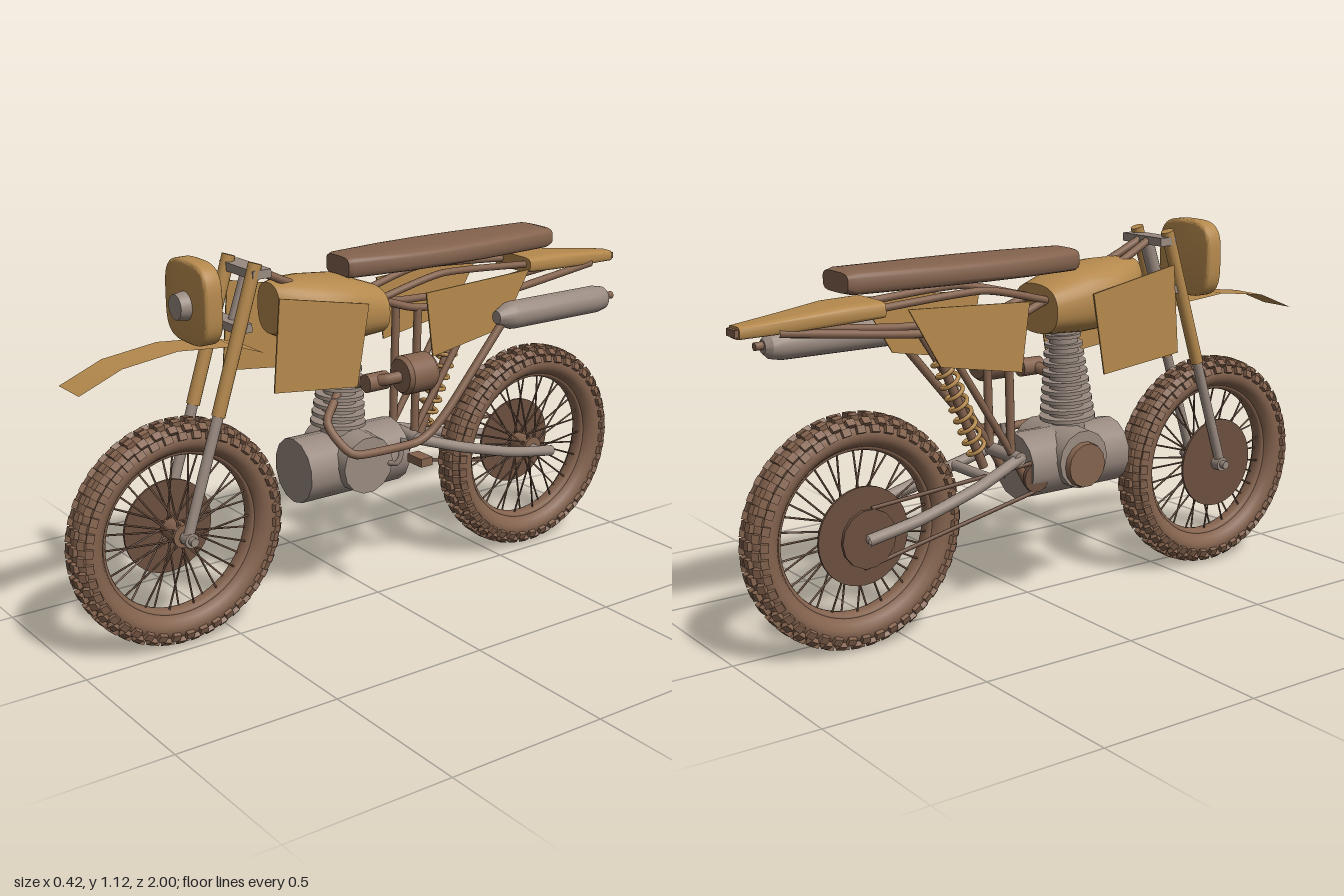
import * as THREE from 'three';
import { mergeGeometries, toCreasedNormals } from 'three/addons/utils/BufferGeometryUtils.js';

const material = (name, color, side = THREE.FrontSide) => {
  const m = new THREE.MeshStandardMaterial({ color, side });
  m.name = name;
  return m;
};

export function createModel() {
  const gold = material('ochre paint', 0xb5894d, THREE.DoubleSide);
  const brown = material('brown rubber', 0x84634e);
  const grey = material('warm grey metal', 0x998a80);
  const dark = material('dark brown metal', 0x6a4f3f);
  const bike = new THREE.Group();
  bike.name = 'motorcycle';
  bike.position.x = -0.07; // the bike's centre plane, its side parts reach further out
  const V = (x, y, z) => new THREE.Vector3(x, y, z);

  const add = (name, geo, mat, parent = bike) => {
    const m = new THREE.Mesh(geo, mat);
    m.name = name;
    parent.add(m);
    return m;
  };
  // Tapered rod between two points
  const rodGeo = (a, b, r0, r1 = r0, n = 14) => {
    const d = b.clone().sub(a);
    const g = new THREE.CylinderGeometry(r1, r0, d.length(), n);
    g.applyQuaternion(new THREE.Quaternion().setFromUnitVectors(V(0, 1, 0), d.normalize()));
    const c = a.clone().add(b).multiplyScalar(0.5);
    return g.translate(c.x, c.y, c.z);
  };
  const rod = (name, a, b, r0, mat, r1 = r0) => add(name, rodGeo(a, b, r0, r1), mat);
  const pipe = (name, pts, r, mat) => {
    const curve = new THREE.CatmullRomCurve3(pts, false, 'catmullrom', 0.3);
    return add(name, new THREE.TubeGeometry(curve, 48, r, 12), mat);
  };
  const box = (name, w, h, d, x, y, z, mat) =>
    add(name, new THREE.BoxGeometry(w, h, d).translate(x, y, z), mat);
  // Closed loft along z through superellipse sections [z, centreY, halfWidth, halfHeight]
  const loft = (name, sections, power, mat, n = 32) => {
    const pos = [], idx = [];
    const first = sections[0], last = sections[sections.length - 1];
    const rings = [[first[0], first[1], 0, 0], ...sections, [last[0], last[1], 0, 0]];
    for (const [z, cy, hw, hh] of rings) for (let i = 0; i < n; i++) {
      const t = i / n * Math.PI * 2, c = Math.cos(t), s = Math.sin(t);
      pos.push(hw * Math.sign(c) * Math.abs(c) ** power, cy + hh * Math.sign(s) * Math.abs(s) ** power, z);
    }
    for (let k = 0; k < rings.length - 1; k++) for (let i = 0; i < n; i++) {
      const a = k * n + i, b = k * n + (i + 1) % n;
      idx.push(a, a + n, b, b, a + n, b + n); // sections run from front to back
    }
    const g = new THREE.BufferGeometry();
    g.setAttribute('position', new THREE.Float32BufferAttribute(pos, 3));
    g.setIndex(idx);
    return add(name, toCreasedNormals(g, 0.6), mat);
  };

  // Wheels
  const wheel = (name, z) => {
    const w = new THREE.Group();
    w.name = name;
    w.position.set(0, 0.34, z);
    bike.add(w);
    const ring = (R, r, sx) => new THREE.TorusGeometry(R, r, 14, 64).rotateY(Math.PI / 2).scale(sx, 1, 1);
    add('tire', ring(0.284, 0.043, 1.25), brown, w);
    add('rim', ring(0.244, 0.012, 2), brown, w);
    const knobs = [], spokes = [];
    for (let i = 0; i < 84; i++) {
      const a = i / 84 * Math.PI * 2;
      for (const s of [-1, 1]) {
        const rows = i % 2 ? [[0.038, 0.318, 0.7]] : [[0.013, 0.328, 0.1], [0.05, 0.301, 1.15]];
        for (const [x, r, tilt] of rows) knobs.push(new THREE.BoxGeometry(0.022, 0.02, 0.025)
          .rotateZ(-s * tilt).translate(s * x, r, 0).rotateX(a));
      }
    }
    for (let i = 0; i < 36; i++) {
      const a = i / 36 * Math.PI * 2, b = a + (i % 4 < 2 ? 0.35 : -0.35), s = i % 2 ? 1 : -1;
      spokes.push(rodGeo(V(s * 0.035, 0.03 * Math.cos(b), 0.03 * Math.sin(b)),
        V(s * 0.008, 0.24 * Math.cos(a), 0.24 * Math.sin(a)), 0.003, 0.003, 5));
    }
    add('knobs', mergeGeometries(knobs), brown, w);
    add('spokes', mergeGeometries(spokes), dark, w);
    add('hub', new THREE.CylinderGeometry(0.03, 0.035, 0.09, 20).rotateZ(Math.PI / 2), brown, w);
    add('axle', new THREE.CylinderGeometry(0.013, 0.013, 0.21, 14).rotateZ(Math.PI / 2), grey, w);
    add('brakeDisc', new THREE.CylinderGeometry(0.142, 0.142, 0.008, 40).rotateZ(Math.PI / 2)
      .translate(-0.054, 0, 0), dark, w);
  };
  wheel('frontWheel', 0.66);
  wheel('rearWheel', -0.65);

  // Fork and clamps
  for (const s of [-1, 1]) {
    const x = s * 0.071;
    rod('forkUpper', V(x, 0.685, 0.553), V(x, 1.105, 0.42), 0.02, gold);
    rod('forkLower', V(x, 0.33, 0.668), V(x, 0.69, 0.552), 0.016, grey);
    add('axleClamp', new THREE.CylinderGeometry(0.022, 0.022, 0.034, 16).rotateZ(Math.PI / 2)
      .translate(x, 0.34, 0.66), grey);
  }
  box('upperClamp', 0.18, 0.025, 0.06, 0, 1.075, 0.41, grey);
  box('lowerClamp', 0.16, 0.025, 0.05, 0, 0.925, 0.465, grey);
  rod('steeringStem', V(0, 0.92, 0.45), V(0, 1.08, 0.395), 0.022, grey);

  // Headlight plate and lens
  const plate = new THREE.Shape();
  const hw = 0.106, hh = 0.108;
  for (let i = 0; i < 48; i++) {
    const t = i / 48 * Math.PI * 2, c = Math.cos(t), s = Math.sin(t);
    const px = hw * Math.sign(c) * Math.abs(c) ** 0.55, py = hh * Math.sign(s) * Math.abs(s) ** 0.55;
    if (i) plate.lineTo(px, py); else plate.moveTo(px, py);
  }
  add('headlightShell', toCreasedNormals(new THREE.ExtrudeGeometry(plate, {
    depth: 0.036, bevelThickness: 0.01, bevelSize: 0.01, bevelSegments: 3 }).translate(0, 1.007, 0.56), 0.6), gold);
  add('headlightLens', new THREE.CylinderGeometry(0.036, 0.042, 0.035, 28).rotateX(Math.PI / 2)
    .translate(0, 0.997, 0.62), grey);

  // Front fender: a thin bent strip
  const fender = new THREE.PlaneGeometry(0.122, 1, 1, 4);
  const fenderPath = [[0.39, 0.84], [0.484, 0.874], [0.666, 0.89], [0.837, 0.869], [0.967, 0.816]];
  const fp = fender.attributes.position;
  for (let i = 0; i < fp.count; i++) {
    const [z, y] = fenderPath[Math.floor(i / 2)];
    fp.setXYZ(i, fp.getX(i), y, z);
  }
  fender.setIndex([...fender.index.array].reverse());
  fender.computeVertexNormals();
  add('frontFender', fender, gold);

  // Tank, seat and tail
  loft('fuelTank', [[0.335, 0.95, 0.06, 0.075], [0.29, 0.942, 0.095, 0.09], [0.21, 0.93, 0.13, 0.1],
    [0.1, 0.922, 0.132, 0.098], [-0.02, 0.903, 0.105, 0.073]], 0.8, gold);
  loft('seat', [[0.095, 1.043, 0.058, 0.03], [0.08, 1.043, 0.066, 0.034], [-0.1, 1.043, 0.095, 0.034],
    [-0.25, 1.043, 0.103, 0.034], [-0.4, 1.043, 0.1, 0.034], [-0.66, 1.043, 0.078, 0.034],
    [-0.685, 1.043, 0.068, 0.028]], 0.5, brown);
  loft('tail', [[-0.58, 0.966, 0.085, 0.024], [-0.7, 0.961, 0.08, 0.026], [-0.85, 0.948, 0.052, 0.022],
    [-0.985, 0.938, 0.031, 0.017]], 0.4, gold);
  box('tailLight', 0.05, 0.02, 0.012, 0, 0.938, -0.99, brown);

  // Side plates, outline given as z, y
  const panel = (name, x, pts) => {
    const shape = new THREE.Shape(pts.map(([z, y]) => new THREE.Vector2(-z, y)));
    for (const s of [-1, 1]) add(name, new THREE.ExtrudeGeometry(shape, { depth: 0.005, bevelEnabled: false })
      .rotateY(Math.PI / 2).translate(s * x - 0.0025, 0, 0), gold);
  };
  panel('tankShroud', 0.14, [[0.388, 1.013], [0.083, 0.954], [0.125, 0.712], [0.41, 0.744]]);
  panel('sidePanel', 0.126, [[-0.136, 0.952], [-0.537, 0.97], [-0.436, 0.8], [-0.163, 0.752]]);

  // Frame tubes
  for (const s of [-1, 1]) {
    pipe('backbone', [V(s * 0.02, 1.075, 0.39), V(s * 0.03, 1.01, 0.25), V(s * 0.045, 0.94, 0),
      V(s * 0.055, 0.89, -0.16), V(s * 0.06, 0.885, -0.45), V(s * 0.04, 0.93, -0.88)], 0.012, brown);
    pipe('seatRail', [V(s * 0.05, 0.93, 0), V(s * 0.06, 0.985, -0.25), V(s * 0.055, 0.965, -0.62)], 0.011, brown);
    rod('rearDownTube', V(s * 0.055, 0.89, -0.16), V(s * 0.055, 0.5, -0.15), 0.013, brown);
    rod('cradleTube', V(s * 0.055, 0.5, -0.15), V(s * 0.055, 0.38, -0.08), 0.013, brown);
    rod('rearStrut', V(s * 0.055, 0.5, -0.15), V(s * 0.06, 0.885, -0.4), 0.011, brown);
    // Swingarm side
    pipe('swingarm', [V(s * 0.075, 0.485, -0.13), V(s * 0.105, 0.43, -0.3), V(s * 0.113, 0.375, -0.5),
      V(s * 0.113, 0.345, -0.67)], 0.017, grey);
  }
  rod('swingarmPivot', V(-0.09, 0.485, -0.14), V(0.09, 0.485, -0.14), 0.02, grey);
  rod('swingarmBridge', V(-0.1, 0.445, -0.25), V(0.1, 0.445, -0.25), 0.016, grey);

  // Shock absorber with coil spring
  const shockTop = V(0, 0.83, -0.37), shockFoot = V(0, 0.455, -0.21);
  rod('shockDamper', shockFoot, shockTop, 0.014, brown);
  const along = shockTop.clone().sub(shockFoot), axis = along.clone().normalize();
  const side = V(1, 0, 0), up = axis.clone().cross(side);
  const coil = [];
  for (let i = 0; i <= 130; i++) {
    const a = i / 130 * 9 * Math.PI * 2;
    coil.push(shockFoot.clone().addScaledVector(along, 0.12 + 0.83 * i / 130)
      .addScaledVector(side, 0.028 * Math.cos(a)).addScaledVector(up, 0.028 * Math.sin(a)));
  }
  add('shockSpring', new THREE.TubeGeometry(new THREE.CatmullRomCurve3(coil), 260, 0.0065, 7), gold);

  // Engine
  rod('crankcase', V(0, 0.44, -0.1), V(0, 0.44, 0.26), 0.1, grey);
  rod('clutchCover', V(0, 0.455, 0.075), V(0.128, 0.455, 0.075), 0.095, grey, 0.088);
  rod('generatorCase', V(0, 0.455, 0.075), V(-0.112, 0.455, 0.075), 0.095, grey, 0.088);
  rod('generatorCover', V(-0.11, 0.44, 0.075), V(-0.13, 0.44, 0.075), 0.07, brown, 0.066);
  rod('cylinderBarrel', V(0, 0.5, 0.1), V(0, 0.83, 0.08), 0.055, grey, 0.042);
  for (let i = 0; i < 10; i++) {
    const t = i / 9;
    add('coolingFin', new THREE.CylinderGeometry(0.084 - 0.03 * t, 0.084 - 0.03 * t, 0.011, 28)
      .rotateX(-0.06).translate(0, 0.565 + 0.25 * t, 0.098 - 0.018 * t), grey);
  }

  // Intake and air filter
  pipe('intake', [V(0.03, 0.69, 0.07), V(0.1, 0.705, 0.05), V(0.14, 0.715, 0.02), V(0.165, 0.725, -0.03)], 0.018, brown);
  rod('carburettor', V(0.11, 0.705, 0.075), V(0.11, 0.705, 0), 0.028, brown);
  const filter = [[0, 0], [0.05, 0], [0.059, 0.012], [0.059, 0.095], [0.05, 0.108], [0, 0.108]];
  add('airFilter', toCreasedNormals(new THREE.LatheGeometry(filter.map(([r, y]) => new THREE.Vector2(r, y)), 32)
    .rotateX(-Math.PI / 2).translate(0.165, 0.727, -0.012), 0.5), brown);

  // Exhaust
  pipe('exhaustPipe', [V(0.03, 0.66, 0.12), V(0.085, 0.605, 0.195), V(0.125, 0.56, 0.19), V(0.17, 0.515, 0.15),
    V(0.172, 0.51, -0.06), V(0.172, 0.535, -0.125), V(0.178, 0.6, -0.19), V(0.18, 0.83, -0.385)], 0.013, brown);
  const muffler = [[0, 0], [0.02, 0], [0.041, 0.045], [0.043, 0.06], [0.043, 0.4], [0.036, 0.435], [0.02, 0.452], [0, 0.452]];
  add('muffler', toCreasedNormals(new THREE.LatheGeometry(muffler.map(([r, y]) => new THREE.Vector2(r, y)), 28)
    .rotateX(-Math.PI / 2).translate(0.18, 0.853, -0.365), 0.5), grey);
  rod('exhaustTip', V(0.18, 0.856, -0.81), V(0.18, 0.856, -0.842), 0.012, brown);

  // Kick lever and foot peg
  pipe('kickLever', [V(0.12, 0.445, 0), V(0.15, 0.45, -0.01), V(0.157, 0.47, -0.02), V(0.157, 0.53, -0.03)], 0.008, grey);
  box('footPeg', 0.068, 0.025, 0.042, 0.247, 0.488, -0.025, brown);

  // Chain and sprockets
  const sprocket = (name, y, z, r) => rod(name, V(-0.078, y, z), V(-0.09, y, z), r, dark);
  sprocket('rearSprocket', 0.34, -0.65, 0.085);
  sprocket('frontSprocket', 0.42, -0.08, 0.045);
  rod('chainTop', V(-0.084, 0.466, -0.085), V(-0.084, 0.425, -0.64), 0.006, dark);
  rod('chainBottom', V(-0.084, 0.376, -0.09), V(-0.084, 0.257, -0.665), 0.006, dark);
  return bike;
}
